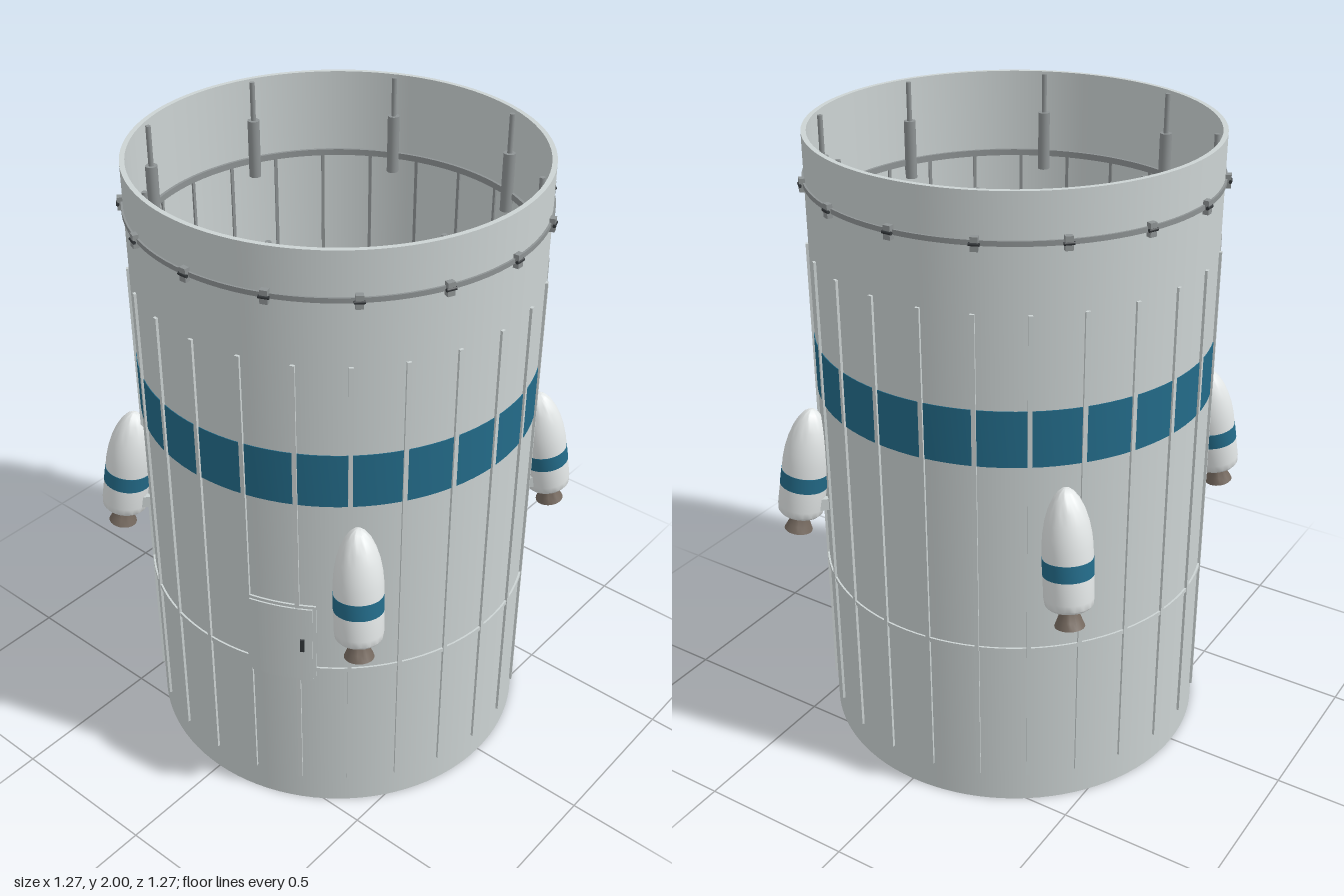
import * as THREE from 'three';
import { toCreasedNormals } from 'three/addons/utils/BufferGeometryUtils.js';

const material = (name, color) => new THREE.MeshStandardMaterial({ name, color });
const R = 0.615, INNER = 0.6;

export function createModel() {
  const model = new THREE.Group();
  model.name = 'boosterSection';
  const hullGrey = material('hullGrey', 0xccd3d3);
  const podWhite = material('podWhite', 0xe6eaea);
  const teal = material('teal', 0x236b89);
  const metal = material('metalGrey', 0x8e9394);
  const nozzleBrown = material('nozzleBrown', 0x766a60);
  const dark = material('darkGrey', 0x33373a);

  const add = (parent, name, geometry, mat, x = 0, y = 0, z = 0) => {
    const mesh = new THREE.Mesh(geometry, mat);
    mesh.name = name;
    mesh.position.set(x, y, z);
    parent.add(mesh);
    return mesh;
  };
  const lathe = (points, segments = 100) => toCreasedNormals(
    new THREE.LatheGeometry(points.map(p => new THREE.Vector2(...p)), segments), 0.6);
  // Rectangular hoop around the y axis
  const hoop = (name, r0, r1, y0, y1, mat) => add(model, name,
    lathe([[r0, y0], [r1, y0], [r1, y1], [r0, y1], [r0, y0]]), mat);
  // Group whose local +x points outward at an angle measured from +x towards +z
  const spoke = (name, degrees) => {
    const group = new THREE.Group();
    group.name = name;
    group.rotation.y = -THREE.MathUtils.degToRad(degrees);
    model.add(group);
    return group;
  };
  const box = (w, h, d) => new THREE.BoxGeometry(w, h, d);
  const rod = (r, h) => new THREE.CylinderGeometry(r, r, h, 16);
  // Curved plate following the hull, centred on local +x
  const curvedPlate = (r0, r1, degrees, height) => {
    const a = THREE.MathUtils.degToRad(degrees / 2);
    const shape = new THREE.Shape();
    shape.absarc(0, 0, r1, -a, a, false);
    shape.absarc(0, 0, r0, a, -a, true);
    return new THREE.ExtrudeGeometry(shape, { depth: height, bevelEnabled: false, curveSegments: 10 })
      .rotateX(-Math.PI / 2);
  };

  // Open tube and its hoops
  hoop('hull', INNER, R, 0, 2, hullGrey);
  hoop('paintedBand', R - 0.002, R + 0.002, 1.2, 1.375, teal);
  hoop('lowerHoop', R - 0.002, R + 0.006, 0.572, 0.586, hullGrey);
  hoop('clampRing', R - 0.002, R + 0.006, 1.853, 1.868, metal);
  hoop('upperInnerFrame', 0.591, INNER + 0.002, 1.72, 1.74, metal);
  hoop('lowerInnerFrame', 0.591, INNER + 0.002, 0.18, 0.2, metal);

  // Outer stringers
  for (let i = 0; i < 25; i++) {
    add(spoke('stringerMount', 7.2 + i * 14.4), 'stringer', box(0.012, 1.56, 0.013), hullGrey, 0.617, 0.88);
  }
  // Inner ribs: closer together in the upper half
  for (let i = 0; i < 24; i++) {
    add(spoke('upperRibMount', i * 15), 'upperRib', box(0.008, 0.83, 0.01), metal, 0.598, 1.315);
  }
  for (let i = 0; i < 16; i++) {
    add(spoke('lowerRibMount', i * 22.5), 'lowerRib', box(0.008, 0.71, 0.01), metal, 0.598, 0.545);
  }
  // Clamp lugs
  for (let i = 0; i < 16; i++) {
    const mount = spoke('clampMount', i * 22.5);
    add(mount, 'clampLug', box(0.02, 0.04, 0.022), metal, 0.622, 1.86);
    add(mount, 'clampBolt', rod(0.005, 0.03).rotateX(Math.PI / 2), dark, 0.63, 1.86);
  }
  // Separation pushers inside the rim
  for (let i = 0; i < 8; i++) {
    const mount = spoke('pusher', 22.5 + i * 45);
    add(mount, 'pusherCylinder', rod(0.019, 0.19), metal, 0.584, 1.775);
    add(mount, 'pusherRod', rod(0.008, 0.13), metal, 0.584, 1.93);
    add(mount, 'pusherBracket', box(0.02, 0.03, 0.03), metal, 0.595, 1.72);
  }

  // Access hatch
  const hatch = spoke('accessHatch', 156);
  add(hatch, 'hatchFrame', curvedPlate(0.61, 0.621, 20, 0.3), hullGrey, 0, 0.53);
  add(hatch, 'hatchPanel', curvedPlate(0.61, 0.626, 18, 0.28), hullGrey, 0, 0.54);
  add(spoke('handleMount', 149.8), 'hatchHandle', box(0.01, 0.045, 0.012), dark, 0.628, 0.68);

  // Four small motors leaning in towards the hull
  const lower = lathe([[0, 0], [0.064, 0], [0.071, 0.008], [0.074, 0.03], [0.074, 0.1]], 32);
  const band = lathe([[0.074, 0.1], [0.075, 0.1], [0.075, 0.152], [0.074, 0.152]], 32);
  const nose = lathe([[0.074, 0.152], [0.074, 0.19], [0.071, 0.225], [0.064, 0.264], [0.053, 0.3],
    [0.039, 0.33], [0.024, 0.35], [0.011, 0.36], [0, 0.363]], 32);
  const bell = lathe([[0.016, -0.064], [0.04, -0.064], [0.045, -0.064], [0.036, -0.042],
    [0.027, -0.018], [0.024, 0.004]], 24);
  for (let i = 0; i < 4; i++) {
    const mount = spoke('motorMount', 45 + i * 90);
    const motor = new THREE.Group();
    motor.name = 'motor';
    motor.position.set(0.7, 0.785, 0);
    motor.rotation.z = 0.165;
    mount.add(motor);
    add(motor, 'motorCase', lower, podWhite);
    add(motor, 'motorBand', band, teal);
    add(motor, 'motorNose', nose, podWhite);
    add(motor, 'motorNozzle', bell, nozzleBrown);
    add(motor, 'nozzleMouth', new THREE.CircleGeometry(0.03, 24).rotateX(Math.PI / 2), nozzleBrown, 0, -0.06);
    for (const z of [-0.04, 0.04]) {
      add(mount, 'motorBracket', box(0.07, 0.04, 0.02), hullGrey, 0.635, 0.825, z);
    }
  }
  return model;
}
